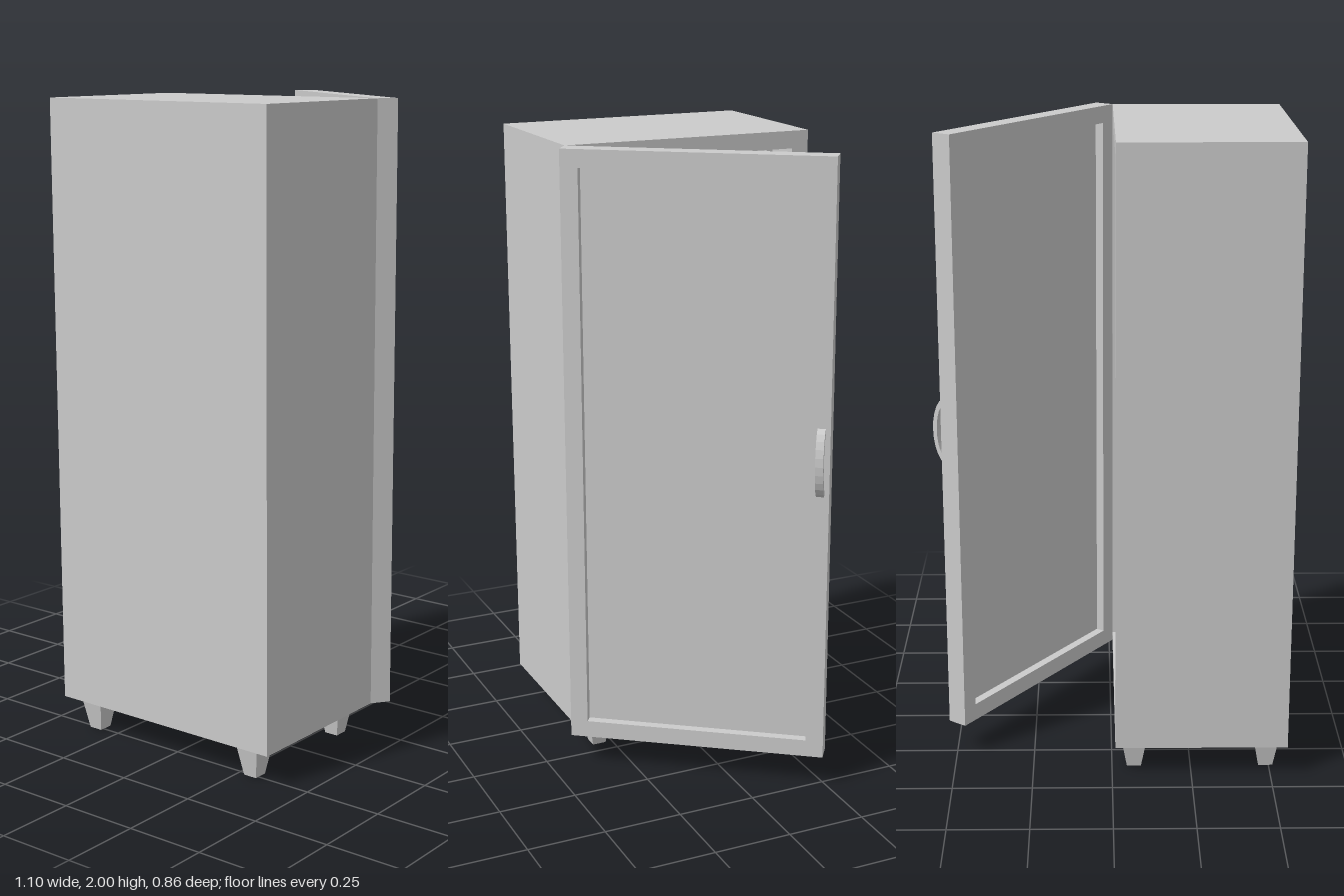
import * as THREE from 'three';

const material = new THREE.MeshStandardMaterial({ color: 0xcccccc, flatShading: true, side: THREE.DoubleSide });

function add(parent, name, geometry, x = 0, y = 0, z = 0) {
  const mesh = new THREE.Mesh(geometry, material);
  mesh.name = name;
  mesh.position.set(x, y, z);
  parent.add(mesh);
  return mesh;
}

const box = (w, h, d) => new THREE.BoxGeometry(w, h, d);
const extrude = (shape, depth) => new THREE.ExtrudeGeometry(shape, { depth, bevelEnabled: false, curveSegments: 10 });

// Rectangular ring, centred in x and y, extruded from z = 0
function frame(w, h, border, depth) {
  const rect = (Type, a, b) => new Type([[-a, -b], [a, -b], [a, b], [-a, b]].map(([x, y]) => new THREE.Vector2(x, y)));
  const shape = rect(THREE.Shape, w / 2, h / 2);
  shape.holes.push(rect(THREE.Path, w / 2 - border, h / 2 - border));
  return extrude(shape, depth);
}

export function createModel() {
  const model = new THREE.Group();
  model.name = 'cabinet';

  const bottom = 0.1, height = 1.9, midY = 1.05, midZ = -0.02;
  const width = 0.82, wall = 0.055, backX = -0.552, openX = -0.01;

  // Body: open towards +x
  add(model, 'cabinetShell', frame(width, height, wall, openX - backX - wall).rotateY(Math.PI / 2), backX + wall, midY, midZ);
  add(model, 'backWall', box(wall, height, width), backX + wall / 2, midY, midZ);

  // Slanted panel at the top of the back wall
  const slant = new THREE.Shape([[0, 0], [0.085, 0.155], [0, 0.155]].map(([x, y]) => new THREE.Vector2(x, y)));
  add(model, 'slantedPanel', extrude(slant, 0.65), backX + wall, 1.79, midZ - 0.325);

  // Shelves and the upright rails that carry them
  for (const y of [0.355, 0.8, 1.16, 1.605]) {
    add(model, 'shelf', box(0.375, 0.022, 0.65), -0.278, y, midZ);
  }
  for (const side of [-1, 1]) {
    for (const x of [-0.155, -0.375]) {
      add(model, 'shelfRail', box(0.025, height - 2 * wall, 0.022), x, midY, midZ + side * 0.345);
    }
  }

  // Tapered square feet
  const footGeometry = new THREE.CylinderGeometry(0.08 / Math.SQRT2, 0.045 / Math.SQRT2, bottom, 4).rotateY(Math.PI / 4);
  for (const x of [-0.49, -0.07]) {
    for (const side of [-1, 1]) add(model, 'foot', footGeometry, x, bottom / 2, midZ + side * 0.315);
  }

  // Door, standing open on its hinge
  const door = new THREE.Group();
  door.name = 'door';
  door.position.set(openX, midY, 0.39);
  door.rotation.y = THREE.MathUtils.degToRad(54);
  model.add(door);
  const thick = 0.065;
  add(door, 'doorFrame', frame(width, height, wall, thick), width / 2, 0, 0);
  add(door, 'doorPane', box(width - 2 * wall, height - 2 * wall, 0.008), width / 2, 0, thick / 2);

  // Bow handle
  const bow = new THREE.Shape();
  bow.moveTo(0, -0.108);
  bow.bezierCurveTo(-0.06, -0.075, -0.06, 0.075, 0, 0.108);
  bow.lineTo(0, 0.088);
  bow.bezierCurveTo(-0.04, 0.06, -0.04, -0.06, 0, -0.088);
  bow.closePath();
  add(door, 'handle', extrude(bow, 0.025).rotateY(Math.PI / 2), 0.78, 0.03, thick);

  return model;
}
